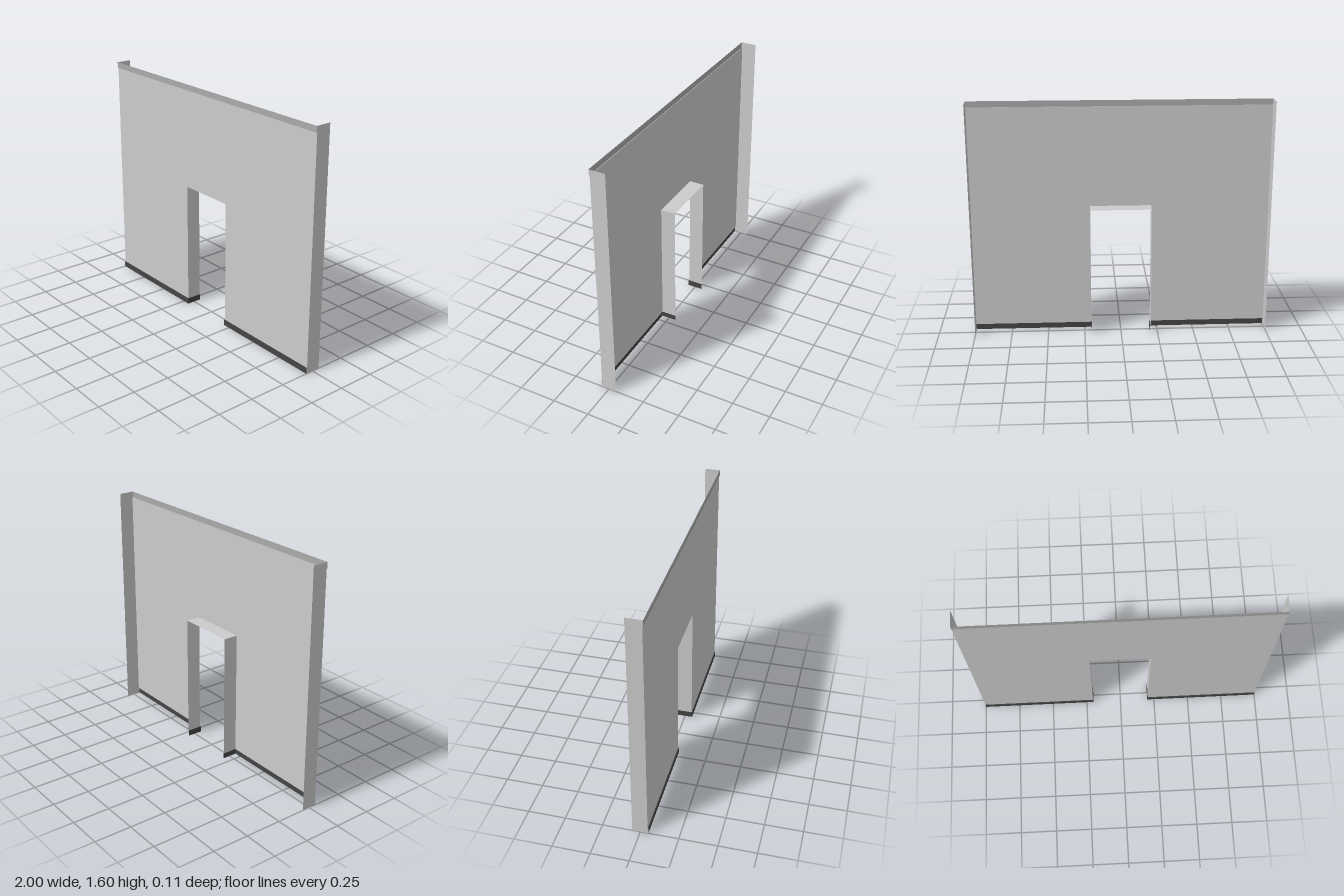
import * as THREE from 'three';

const HALF = 1, TOP = 1.6, TRIM = 0.04;        // overall half width, height, trim height
const BACK = -0.053, WALL = 0.048, FRONT = 0.053; // depth planes
const DOOR = 0.204, DOOR_TOP = 0.885, SKIRT = 0.2; // opening half widths and height

const mat = (color) => new THREE.MeshStandardMaterial({ color, side: THREE.DoubleSide });
const plaster = mat(0xcccccc), cornice = mat(0xaaaaaa), dark = mat(0x444444);

function add(parent, name, geometry, material) {
  const mesh = new THREE.Mesh(geometry, material);
  mesh.name = name;
  parent.add(mesh);
  return mesh;
}

const flat = (points) =>
  new THREE.ShapeGeometry(new THREE.Shape(points.map(([x, y]) => new THREE.Vector2(x, y))));

// Open strip: a path of [x, y, z] points swept along one direction
function ribbon(path, [dx, dy, dz]) {
  const pos = [];
  for (let i = 0; i < path.length - 1; i++) {
    const a = path[i], b = path[i + 1];
    const c = [b[0] + dx, b[1] + dy, b[2] + dz];
    const d = [a[0] + dx, a[1] + dy, a[2] + dz];
    pos.push(...a, ...b, ...c, ...a, ...c, ...d);
  }
  const g = new THREE.BufferGeometry();
  g.setAttribute('position', new THREE.Float32BufferAttribute(pos, 3));
  g.computeVertexNormals();
  return g;
}

export function createModel() {
  const model = new THREE.Group();
  model.name = 'doorwayWall';

  // Front sheet with the doorway cut out
  const face = flat([
    [-HALF, TRIM], [-DOOR, TRIM], [-DOOR, DOOR_TOP], [DOOR, DOOR_TOP],
    [DOOR, TRIM], [HALF, TRIM], [HALF, TOP - TRIM], [-HALF, TOP - TRIM],
  ]);
  add(model, 'wallFace', face.translate(0, 0, WALL), plaster);

  // Jambs and head lining the doorway
  add(model, 'doorReveal', ribbon([
    [DOOR, TRIM, WALL], [DOOR, DOOR_TOP, WALL],
    [-DOOR, DOOR_TOP, WALL], [-DOOR, TRIM, WALL],
  ], [0, 0, BACK - WALL]), plaster);

  // Raised band along the top with its small step back to the wall
  add(model, 'topBand', ribbon([
    [-HALF, TOP - TRIM, WALL], [-HALF, TOP - TRIM, FRONT], [-HALF, TOP, FRONT],
  ], [2 * HALF, 0, 0]), cornice);

  for (const side of [1, -1]) {
    const half = new THREE.Group();
    half.name = side > 0 ? 'leftSide' : 'rightSide';
    half.scale.x = side;
    model.add(half);

    // End panel, its front edge following the trims
    const end = flat([
      [-BACK, 0], [-BACK, TOP], [-FRONT, TOP], [-FRONT, TOP - TRIM],
      [-WALL, TOP - TRIM], [-WALL, TRIM], [-FRONT, TRIM], [-FRONT, 0],
    ]);
    add(half, 'endPanel', end.rotateY(Math.PI / 2).translate(HALF, 0, 0), plaster);

    // Skirting along the wall and round into the doorway
    add(half, 'skirting', ribbon([
      [HALF, 0, FRONT], [SKIRT, 0, FRONT], [SKIRT, 0, BACK],
    ], [0, TRIM, 0]), dark);
    const ledge = flat([
      [HALF, -FRONT], [HALF, -WALL], [DOOR, -WALL], [DOOR, -BACK],
      [SKIRT, -BACK], [SKIRT, -FRONT],
    ]);
    add(half, 'skirtingLedge', ledge.rotateX(-Math.PI / 2).translate(0, TRIM, 0), dark);
  }
  return model;
}
